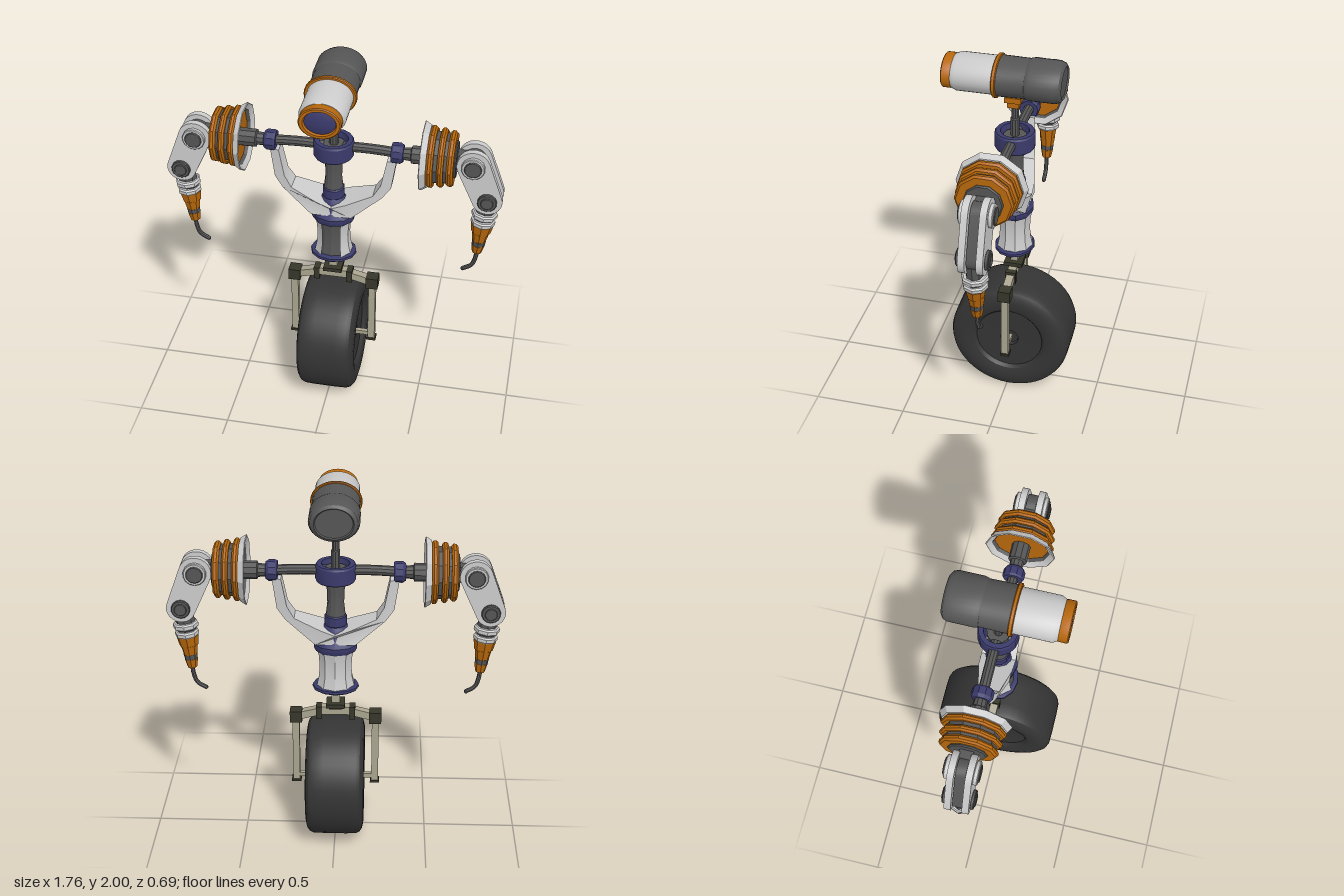
import * as THREE from 'three';
import { toCreasedNormals } from 'three/addons/utils/BufferGeometryUtils.js';

const paint = (color) => new THREE.MeshStandardMaterial({ color, side: THREE.DoubleSide });
const LIGHT = paint(0xcccccc), DARK = paint(0x555555), TYRE = paint(0x343434), ORANGE = paint(0xb8680c);
const BLUE = paint(0x3a3a6c), BEIGE = paint(0xaaa590), OLIVE = paint(0x36362a);

function add(parent, name, geo, mat, x = 0, y = 0, z = 0) {
  const m = new THREE.Mesh(toCreasedNormals(geo, 0.5), mat);
  m.name = name;
  m.position.set(x, y, z);
  parent.add(m);
  return m;
}

// Turned part from [radius, height] pairs, about the y, x or z axis
function turned(profile, sides = 12, axis = 'y', phi = 0, arc = Math.PI * 2) {
  const geo = new THREE.LatheGeometry(profile.map((p) => new THREE.Vector2(p[0], p[1])), sides, phi, arc);
  if (axis === 'x') geo.rotateZ(-Math.PI / 2);
  if (axis === 'z') geo.rotateX(Math.PI / 2);
  return geo;
}

// Solid disc between a and b along its axis, with a small chamfer
const disc = (r, a, b, sides, axis, c = 0.006) =>
  turned([[0, a], [r - c, a], [r, a + c], [r, b - c], [r - c, b], [0, b]], sides, axis);

const box = (w, h, d) => new THREE.BoxGeometry(w, h, d);

// Plate wrapped around two circles, centred on z
function linkPlate(a, ra, b, rb, depth) {
  const phi = Math.atan2(b[1] - a[1], b[0] - a[0]);
  const s = new THREE.Shape();
  s.absarc(a[0], a[1], ra, phi + Math.PI / 2, phi + Math.PI * 1.5, false);
  s.absarc(b[0], b[1], rb, phi - Math.PI / 2, phi + Math.PI / 2, false);
  const geo = new THREE.ExtrudeGeometry(s, { depth, bevelEnabled: false, curveSegments: 6 });
  return geo.translate(0, 0, -depth / 2);
}

function makeWheel() {
  const g = new THREE.Group();
  g.name = 'wheel';
  g.position.y = 0.332;
  const half = [[0, -0.1], [0.025, -0.1], [0.045, -0.105], [0.05, -0.125], [0.185, -0.13], [0.2, -0.148],
    [0.23, -0.158], [0.27, -0.157], [0.3, -0.15], [0.32, -0.136], [0.329, -0.115], [0.331, -0.06]];
  const mirrored = half.slice().reverse().map(([r, x]) => [r, -x]);
  add(g, 'tyre', turned([...half, ...mirrored], 48, 'x'), TYRE);
  return g;
}

function makeFork() {
  const g = new THREE.Group();
  g.name = 'fork';
  add(g, 'stem', box(0.046, 0.18, 0.04), BEIGE, 0, 0.845);
  add(g, 'stemPlate', box(0.1, 0.022, 0.1), OLIVE, 0, 0.777);
  add(g, 'stemBlock', box(0.07, 0.02, 0.06), OLIVE, 0, 0.76);
  add(g, 'crown', box(0.16, 0.045, 0.045), BEIGE, 0, 0.738);
  for (const s of [-1, 1]) {
    add(g, 'crownClip', box(0.032, 0.072, 0.058), OLIVE, s * 0.09, 0.727);
    add(g, 'crownArm', box(0.13, 0.042, 0.042), BEIGE, s * 0.15, 0.715).rotation.z = -s * 0.25;
    add(g, 'cornerBlock', box(0.066, 0.066, 0.066), OLIVE, s * 0.215, 0.7);
    add(g, 'forkLeg', box(0.038, 0.38, 0.038), BEIGE, s * 0.216, 0.49);
    add(g, 'legFoot', box(0.052, 0.014, 0.05), OLIVE, s * 0.216, 0.298);
    add(g, 'axle', box(0.13, 0.024, 0.024), BEIGE, s * 0.16, 0.328);
  }
  return g;
}

function makeTorso() {
  const g = new THREE.Group();
  g.name = 'torso';
  add(g, 'baseFlange', turned([[0.06, 0.875], [0.115, 0.872], [0.125, 0.88], [0.123, 0.893], [0.1, 0.9],
    [0.075, 0.9], [0.06, 0.875]], 12), BLUE).scale.z = 0.86;
  // Light shell, open at the front over a dark core
  const shell = [[0.104, 0.895], [0.092, 0.95], [0.088, 1.01], [0.092, 1.07], [0.1, 1.11]];
  add(g, 'torsoShell', turned(shell, 8, 'y', 0.55, Math.PI * 2 - 1.1), LIGHT).scale.z = 0.94;
  add(g, 'torsoCore', turned([[0, 0.9], ...shell.map(([r, y]) => [r - 0.012, y]), [0, 1.11]], 12), DARK).scale.z = 0.9;
  add(g, 'waistCap', turned([[0, 1.1], [0.108, 1.1], [0.118, 1.12], [0.118, 1.14], [0.092, 1.17],
    [0.08, 1.22], [0.055, 1.25], [0, 1.25]], 10), BLUE).scale.z = 0.86;
  add(g, 'spineRing', disc(0.058, 1.243, 1.305, 12, 'y'), BLUE);
  add(g, 'spine', turned([[0, 1.3], [0.052, 1.3], [0.044, 1.37], [0.046, 1.44], [0.056, 1.5], [0.06, 1.565], [0, 1.565]], 12), DARK);
  add(g, 'collar', turned([[0.06, 1.495], [0.1, 1.495], [0.106, 1.505], [0.106, 1.58], [0.1, 1.59],
    [0.075, 1.59], [0.07, 1.55], [0.06, 1.495]], 16), BLUE);

  // Yoke: outline in the front plane, widening in depth toward the middle
  const outer = [[0.33, 1.51], [0.306, 1.345], [0.262, 1.285], [0.105, 1.16]];
  const inner = [[0.075, 1.243], [0.215, 1.298], [0.253, 1.36], [0.282, 1.51]];
  const flip = (pts) => pts.slice().reverse().map(([x, y]) => [-x, y]);
  const outline = [...outer, ...flip(outer), ...flip(inner), [0, 1.215], ...inner];
  const shape = new THREE.Shape(outline.map(([x, y]) => new THREE.Vector2(x, y)));
  const yoke = new THREE.ExtrudeGeometry(shape, { depth: 2, bevelEnabled: false }).translate(0, 0, -1);
  const p = yoke.attributes.position;
  for (let i = 0; i < p.count; i++) {
    p.setZ(i, p.getZ(i) * THREE.MathUtils.mapLinear(Math.max(Math.abs(p.getX(i)), 0.06), 0.06, 0.33, 0.092, 0.028));
  }
  add(g, 'yoke', yoke, LIGHT);
  return g;
}

function makeHead() {
  const g = new THREE.Group();
  g.name = 'head';
  add(g, 'neck', turned([[0, 1.56], [0.024, 1.56], [0.024, 1.66], [0.02, 1.665], [0.02, 1.75], [0, 1.75]], 10), DARK);
  add(g, 'neckBracket', box(0.085, 0.035, 0.06), ORANGE, 0, 1.755);
  add(g, 'neckSaddle', box(0.108, 0.03, 0.085), ORANGE, 0, 1.785);
  const barrel = new THREE.Group();
  barrel.name = 'barrel';
  barrel.position.set(0, 1.893, 0.015);
  barrel.scale.x = 1.25;
  g.add(barrel);
  add(barrel, 'rearHousing', turned([[0, -0.262], [0.075, -0.262], [0.08, -0.27], [0.095, -0.258], [0.103, -0.235],
    [0.103, -0.105], [0.1, -0.09], [0.097, -0.085], [0.099, 0.065], [0, 0.065]], 32, 'z'), DARK);
  add(barrel, 'bandRing', disc(0.107, 0.058, 0.08, 32, 'z', 0.004), ORANGE);
  add(barrel, 'frontHousing', turned([[0, 0.075], [0.094, 0.075], [0.094, 0.27], [0.084, 0.295], [0, 0.295]], 32, 'z'), LIGHT);
  add(barrel, 'lensHood', turned([[0, 0.285], [0.078, 0.285], [0.085, 0.3], [0.085, 0.34], [0.08, 0.36],
    [0.067, 0.36], [0.062, 0.33], [0, 0.33]].map(([r, z]) => [r, Math.min(z, 0.345)]), 32, 'z'), ORANGE);
  add(barrel, 'lens', turned([[0.063, 0.332], [0.045, 0.339], [0.02, 0.343], [0, 0.344]], 32, 'z'), BLUE);
  return g;
}

// One arm along +x; symmetric in z, so a half turn gives the other
function makeArm(name) {
  const g = new THREE.Group();
  g.name = name;
  const Y = 1.545;
  const rod = new THREE.QuadraticBezierCurve3(new THREE.Vector3(0.05, 1.55, 0), new THREE.Vector3(0.2, 1.56, 0), new THREE.Vector3(0.38, 1.54, 0));
  add(g, 'shoulderRod', new THREE.TubeGeometry(rod, 10, 0.027, 10), DARK);
  add(g, 'rodClamp', turned([[0, 0.3], [0.05, 0.3], [0.056, 0.31], [0.056, 0.345], [0.045, 0.362], [0, 0.362]], 10, 'x'), BLUE, 0, Y);
  add(g, 'shoulderStub', turned([[0, 0.36], [0.033, 0.36], [0.036, 0.4], [0.048, 0.405], [0.048, 0.52], [0, 0.52]], 10, 'x'), DARK, 0, Y);

  // Shoulder drum: flared rim, dark hollow core and three bands
  add(g, 'drumRim', turned([[0.15, 0.475], [0.178, 0.458], [0.183, 0.462], [0.165, 0.492], [0.14, 0.492]], 10, 'x'), LIGHT, 0, Y);
  add(g, 'drumCore', turned([[0, 0.5], [0.135, 0.5], [0.152, 0.474], [0.155, 0.49], [0.138, 0.51], [0.132, 0.61], [0, 0.615]], 10, 'x'), DARK, 0, Y);
  for (const [a, b, r] of [[0.492, 0.525, 0.164], [0.545, 0.577, 0.157], [0.592, 0.626, 0.148]]) {
    add(g, 'drumBand', disc(r, a, b, 10, 'x', 0.01), ORANGE, 0, Y);
  }
  add(g, 'drumCap', disc(0.1, 0.6, 0.636, 10, 'x'), DARK, 0, Y);

  // Upper arm: twin plates around a dark core, with pivot discs
  const S = [0.722, Y], E = [0.804, 1.347];
  add(g, 'shoulderLug', box(0.11, 0.085, 0.07), DARK, 0.67, Y);
  add(g, 'upperArmCore', linkPlate(S, 0.06, E, 0.055, 0.05), DARK);
  for (const s of [-1, 1]) {
    add(g, 'upperArmPlate', linkPlate(S, 0.085, E, 0.077, 0.034), LIGHT, 0, 0, s * 0.045);
    add(g, 'shoulderPivot', disc(0.06, -0.012, 0.012, 14, 'z', 0.004), LIGHT, ...S, s * 0.072);
    add(g, 'shoulderPivotCap', disc(0.045, -0.012, 0.012, 14, 'z', 0.004), DARK, ...S, s * 0.079);
    add(g, 'elbowPivot', disc(0.05, -0.01, 0.01, 14, 'z', 0.004), DARK, ...E, s * 0.07);
    add(g, 'elbowPivotCap', disc(0.033, -0.006, 0.006, 14, 'z', 0.003), DARK, ...E, s * 0.08);
  }

  // Forearm hangs from the elbow, tipped slightly inward
  const f = new THREE.Group();
  f.name = 'forearm';
  f.position.set(...E, 0);
  f.rotation.z = -0.1;
  g.add(f);
  add(f, 'forearmCore', turned([[0, -0.2], [0.05, -0.2], [0.052, -0.09], [0.045, 0], [0, 0]], 8), DARK).scale.z = 0.85;
  for (const [a, b, r] of [[-0.135, -0.1, 0.068], [-0.182, -0.148, 0.064]]) {
    add(f, 'wristBand', disc(r, a, b, 8, 'y', 0.008), LIGHT);
  }
  const taper = (a, ra, b, rb) => turned([[0, a], [ra, a], [rb, b], [0, b]], 8);
  add(f, 'nozzleTop', taper(-0.237, 0.05, -0.182, 0.06), ORANGE).scale.z = 0.85;
  add(f, 'nozzleMiddle', taper(-0.29, 0.036, -0.235, 0.045), ORANGE);
  add(f, 'nozzleRing', taper(-0.318, 0.034, -0.288, 0.038), DARK);
  add(f, 'nozzleTip', taper(-0.366, 0.026, -0.316, 0.036), ORANGE);

  const cable = new THREE.CatmullRomCurve3([[0.77, 1.0], [0.763, 0.94], [0.745, 0.89], [0.7, 0.86]]
    .map(([x, y]) => new THREE.Vector3(x, y, 0)));
  add(g, 'cable', new THREE.TubeGeometry(cable, 14, 0.012, 8), DARK);
  add(g, 'cableEnd', new THREE.SphereGeometry(0.012, 8, 6), DARK, 0.7, 0.86);
  return g;
}

export function createModel() {
  const model = new THREE.Group();
  model.name = 'oneWheeledRobot';
  const body = new THREE.Group();
  body.name = 'body';
  body.position.z = -0.015;
  const rightArm = makeArm('rightArm');
  rightArm.rotation.y = Math.PI;
  body.add(makeWheel(), makeFork(), makeTorso(), makeHead(), makeArm('leftArm'), rightArm);
  model.add(body);
  return model;
}
